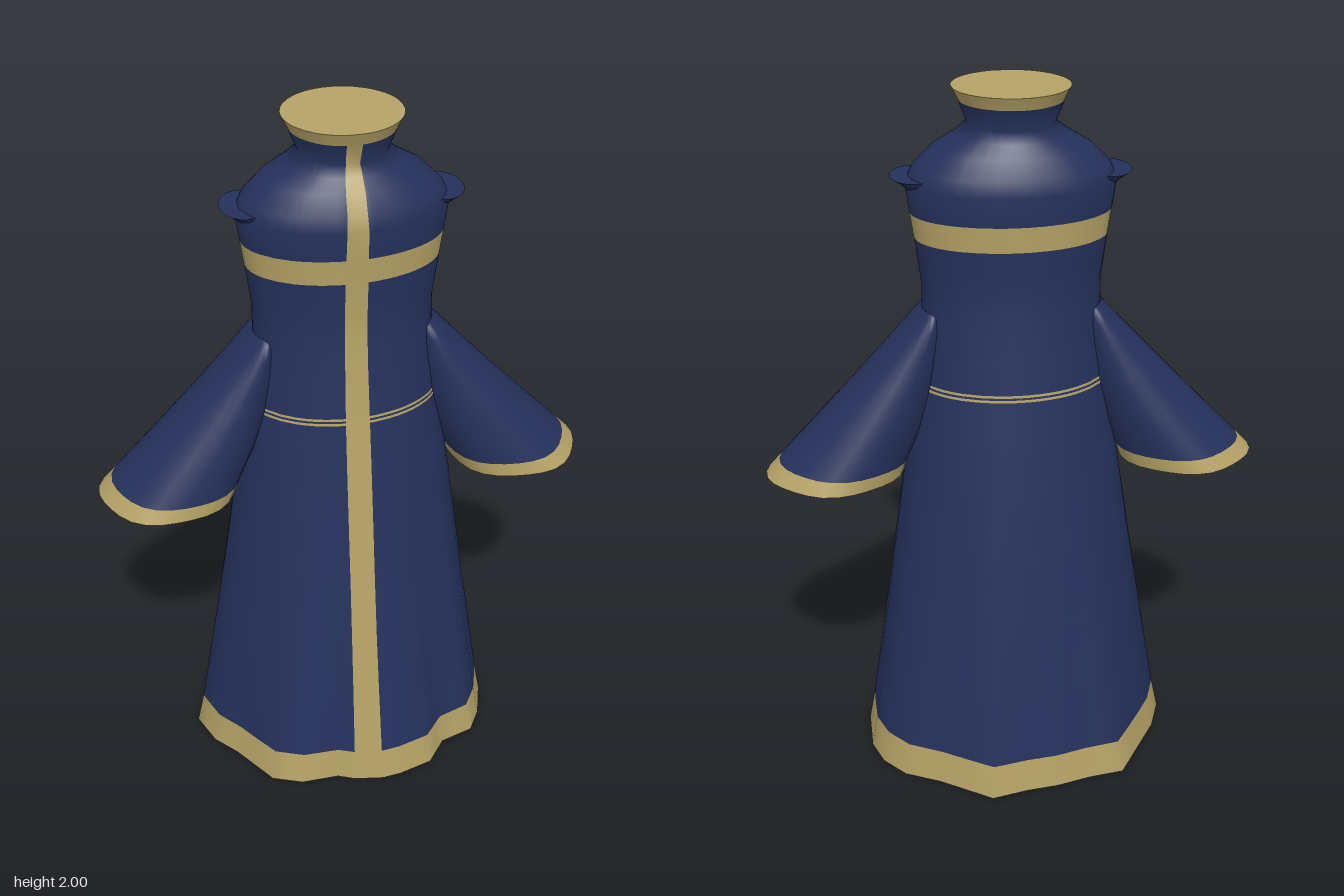
import * as THREE from 'three';

const navy = new THREE.MeshStandardMaterial({ color: 0x25315c });
navy.name = 'navyCloth';
const gold = new THREE.MeshStandardMaterial({ color: 0xb5a266 });
gold.name = 'goldTrim';

// Skin closed rings from bottom to top; isGold(row, column) picks the trim faces.
function loft(name, rings, isGold) {
  const n = rings[0].length;
  const faces = [[], []];
  for (let r = 0; r < rings.length - 1; r++) {
    for (let c = 0; c < n; c++) {
      const a = r * n + c, b = r * n + (c + 1) % n;
      faces[isGold(r, c) ? 1 : 0].push(a, a + n, b + n, a, b + n, b);
    }
  }
  const geo = new THREE.BufferGeometry();
  geo.setAttribute('position', new THREE.Float32BufferAttribute(rings.flat(2), 3));
  geo.setIndex([...faces[0], ...faces[1]]);
  geo.addGroup(0, faces[0].length, 0);
  geo.addGroup(faces[0].length, faces[1].length, 1);
  geo.computeVertexNormals();
  const mesh = new THREE.Mesh(geo, [navy, gold]);
  mesh.name = name;
  return mesh;
}

// Flat lid over a ring, facing up or down.
function lid(name, ring, up, material) {
  const n = ring.length;
  const centre = [0, 1, 2].map(k => ring.reduce((s, p) => s + p[k], 0) / n);
  const index = [];
  for (let c = 0; c < n; c++) {
    const d = (c + 1) % n;
    index.push(n, ...(up ? [d, c] : [c, d]));
  }
  const geo = new THREE.BufferGeometry();
  geo.setAttribute('position', new THREE.Float32BufferAttribute([...ring.flat(), ...centre], 3));
  geo.setIndex(index);
  geo.computeVertexNormals();
  const mesh = new THREE.Mesh(geo, material);
  mesh.name = name;
  return mesh;
}

// Linear lookup in rows of [y, ...values]
function sample(table, y) {
  let i = 0;
  while (i < table.length - 2 && y > table[i + 1][0]) i++;
  const a = table[i], b = table[i + 1];
  const t = (y - a[0]) / (b[0] - a[0]);
  return a.slice(1).map((v, k) => v + (b[k + 1] - v) * t);
}

// Robe: half width, half depth and half width of the front stripe by height
const robeProfile = [
  [0, 0.455, 0.365, 0.042], [0.1, 0.435, 0.35, 0.041], [0.5, 0.372, 0.287, 0.038],
  [0.9, 0.312, 0.23, 0.036], [1.2, 0.265, 0.187, 0.033], [1.35, 0.248, 0.17, 0.031],
  [1.47, 0.245, 0.16, 0.03], [1.6, 0.262, 0.168, 0.03], [1.75, 0.283, 0.18, 0.028],
  [1.79, 0.265, 0.172, 0.026], [1.84, 0.215, 0.15, 0.025], [1.875, 0.155, 0.13, 0.022],
  [1.905, 0.117, 0.116, 0.02], [1.965, 0.14, 0.14, 0.02], [2, 0.157, 0.157, 0.02],
];
// Wavy hem outline [x, z], starting at the left edge of the front stripe
const hem = [
  [0.042, 0.372], [-0.042, 0.357], [-0.09, 0.335], [-0.2, 0.335], [-0.285, 0.3],
  [-0.37, 0.17], [-0.43, 0.1], [-0.468, 0], [-0.43, -0.1], [-0.385, -0.17],
  [-0.295, -0.31], [-0.19, -0.325], [-0.09, -0.35], [0, -0.36], [0.105, -0.382],
  [0.25, -0.285], [0.35, -0.235], [0.41, -0.165], [0.44, -0.08], [0.44, 0.06],
  [0.405, 0.165], [0.36, 0.235], [0.26, 0.265], [0.2, 0.338], [0.1, 0.366],
];

function makeRobe() {
  const group = new THREE.Group();
  group.name = 'robe';
  const columns = hem.flatMap((p, i) => {
    const q = hem[(i + 1) % hem.length];
    return i === 0 ? [p] : [p, [(p[0] + q[0]) / 2, (p[1] + q[1]) / 2]];
  });
  const heights = [0, 0.1, 0.3, 0.5, 0.7, 0.9, 1.05, 1.182, 1.189, 1.195, 1.202, 1.28, 1.35, 1.41,
    1.47, 1.535, 1.6, 1.67, 1.75, 1.79, 1.84, 1.875, 1.905, 1.965, 2];
  const rings = heights.map(y => {
    const [rx, rz, stripe] = sample(robeProfile, y);
    const wave = Math.max(0, 1 - y / 1.1);
    return columns.map(([hx, hz], c) => {
      let angle = Math.atan2(hz / 0.365, hx / 0.455);
      if (c < 2) angle = Math.PI / 2 + (c ? 1 : -1) * Math.asin(stripe / rx);
      const x = Math.cos(angle) * rx, z = Math.sin(angle) * rz;
      return [x + (hx * rx / 0.455 - x) * wave, y, z + (hz * rz / 0.365 - z) * wave];
    });
  });
  // Trim rows: hem, two waist cords, chest band, collar; column 0 is the front stripe
  const trim = [0, 0.182 + 1, 1.195, 1.6, 1.965];
  group.add(loft('robeBody', rings, (r, c) => c === 0 || trim.includes(heights[r])));
  group.add(lid('hemUnderside', rings[0], false, gold));
  group.add(lid('collarTop', rings[rings.length - 1], true, gold));
  return group;
}

// Horizontal oval, optionally wavy, between x0 and x1; side mirrors it
function oval(side, y, x0, x1, rz, wave = 0) {
  const n = 28, ring = [];
  for (let i = 0; i < n; i++) {
    const a = i / n * Math.PI * 2;
    const k = 1 + wave * Math.cos(5 * a + side);
    ring.push([side * ((x0 + x1) / 2 + Math.cos(side * a) * k * (x1 - x0) / 2), y,
      Math.sin(side * a) * k * rz]);
  }
  // Keep the same turning direction on both sides
  return side > 0 ? ring : ring.map(([x, h, z]) => [x, h, -z]).reverse().map(([x, h, z]) => [x, h, -z]).reverse();
}

function makeSleeve(side) {
  const group = new THREE.Group();
  group.name = side > 0 ? 'leftSleeve' : 'rightSleeve';
  const rings = [
    [0.925, 0.31, 0.695, 0.182, 0.025], [0.965, 0.295, 0.657, 0.174, 0.02],
    [1.08, 0.245, 0.548, 0.153, 0.01], [1.2, 0.205, 0.435, 0.13, 0], [1.3, 0.19, 0.342, 0.111, 0],
    [1.36, 0.188, 0.286, 0.1, 0], [1.395, 0.192, 0.253, 0.086, 0], [1.41, 0.2, 0.23, 0.05, 0],
  ].map(s => oval(side, ...s));
  group.add(loft('sleeve', rings, r => r === 0));
  group.add(lid('cuffUnderside', rings[0], false, gold));
  group.add(lid('sleeveTop', rings[rings.length - 1], true, navy));
  return group;
}

function makeShoulderTab(side) {
  const group = new THREE.Group();
  group.name = side > 0 ? 'leftShoulderTab' : 'rightShoulderTab';
  const rings = [
    [1.73, 0.23, 0.268, 0.025], [1.738, 0.22, 0.283, 0.05],
    [1.753, 0.2, 0.296, 0.074], [1.77, 0.2, 0.322, 0.087],
  ].map(s => oval(side, ...s));
  group.add(loft('tabBowl', rings, () => false));
  group.add(lid('tabTop', rings[rings.length - 1], true, navy));
  group.add(lid('tabUnderside', rings[0], false, navy));
  return group;
}

export function createModel() {
  const model = new THREE.Group();
  model.name = 'robedFigure';
  model.add(makeRobe());
  for (const side of [1, -1]) model.add(makeSleeve(side), makeShoulderTab(side));
  return model;
}
